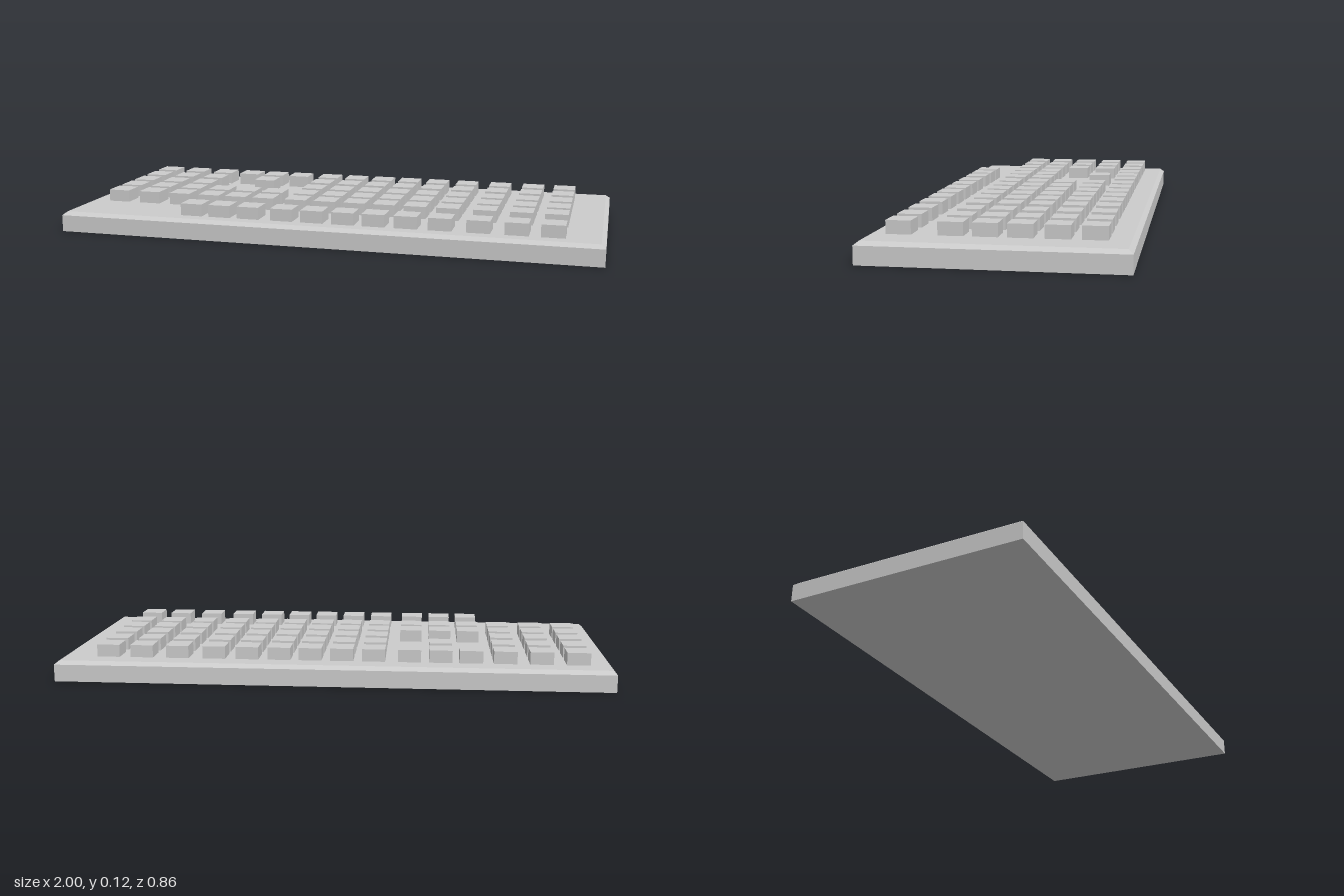
import * as THREE from 'three';

const WIDTH = 2, DEPTH = 0.858, EDGE_Y = 0.062, TOP_Y = 0.075, BEVEL = 0.016;
const KEY_SIZE = 0.083, KEY_TOP = 0.12;

// Key grid: column centres (x), and rows from back to front with their filled columns
const COLUMNS = [-0.878, -0.749, -0.621, -0.5, -0.391, -0.279, -0.15, -0.035,
  0.08, 0.193, 0.31, 0.432, 0.567, 0.699, 0.823];
const ROWS = [
  { z: -0.302, keys: '###############' },
  { z: -0.185, keys: '###.#.#########' },
  { z: -0.067, keys: '###...#########' },
  { z: 0.045, keys: '###############' },
  { z: 0.156, keys: '###############' },
  { z: 0.325, keys: '...############' },
];

const material = new THREE.MeshStandardMaterial({ color: 0xcccccc, flatShading: true });

// Slab with a bevelled upper edge: the top ring of a two-layer box is pulled inwards
function createCase() {
  const geometry = new THREE.BoxGeometry(WIDTH, 2, DEPTH, 1, 2, 1);
  const p = geometry.attributes.position;
  for (let i = 0; i < p.count; i++) {
    const level = Math.round(p.getY(i)) + 1;
    p.setY(i, [0, EDGE_Y, TOP_Y][level]);
    if (level === 2) {
      p.setX(i, p.getX(i) - Math.sign(p.getX(i)) * BEVEL);
      p.setZ(i, p.getZ(i) - Math.sign(p.getZ(i)) * BEVEL);
    }
  }
  geometry.computeVertexNormals();
  const mesh = new THREE.Mesh(geometry, material);
  mesh.name = 'case';
  return mesh;
}

// Square keycaps standing on the case
function createKeys() {
  const keys = new THREE.Group();
  keys.name = 'keys';
  const height = KEY_TOP - TOP_Y;
  const geometry = new THREE.BoxGeometry(KEY_SIZE, height, KEY_SIZE);
  ROWS.forEach((row, r) => {
    COLUMNS.forEach((x, c) => {
      if (row.keys[c] !== '#') return;
      const key = new THREE.Mesh(geometry, material);
      key.name = `key row ${r + 1} column ${c + 1}`;
      key.position.set(x, TOP_Y + height / 2, row.z);
      keys.add(key);
    });
  });
  return keys;
}

export function createModel() {
  const model = new THREE.Group();
  model.name = 'keyboard';
  model.add(createCase(), createKeys());
  return model;
}
